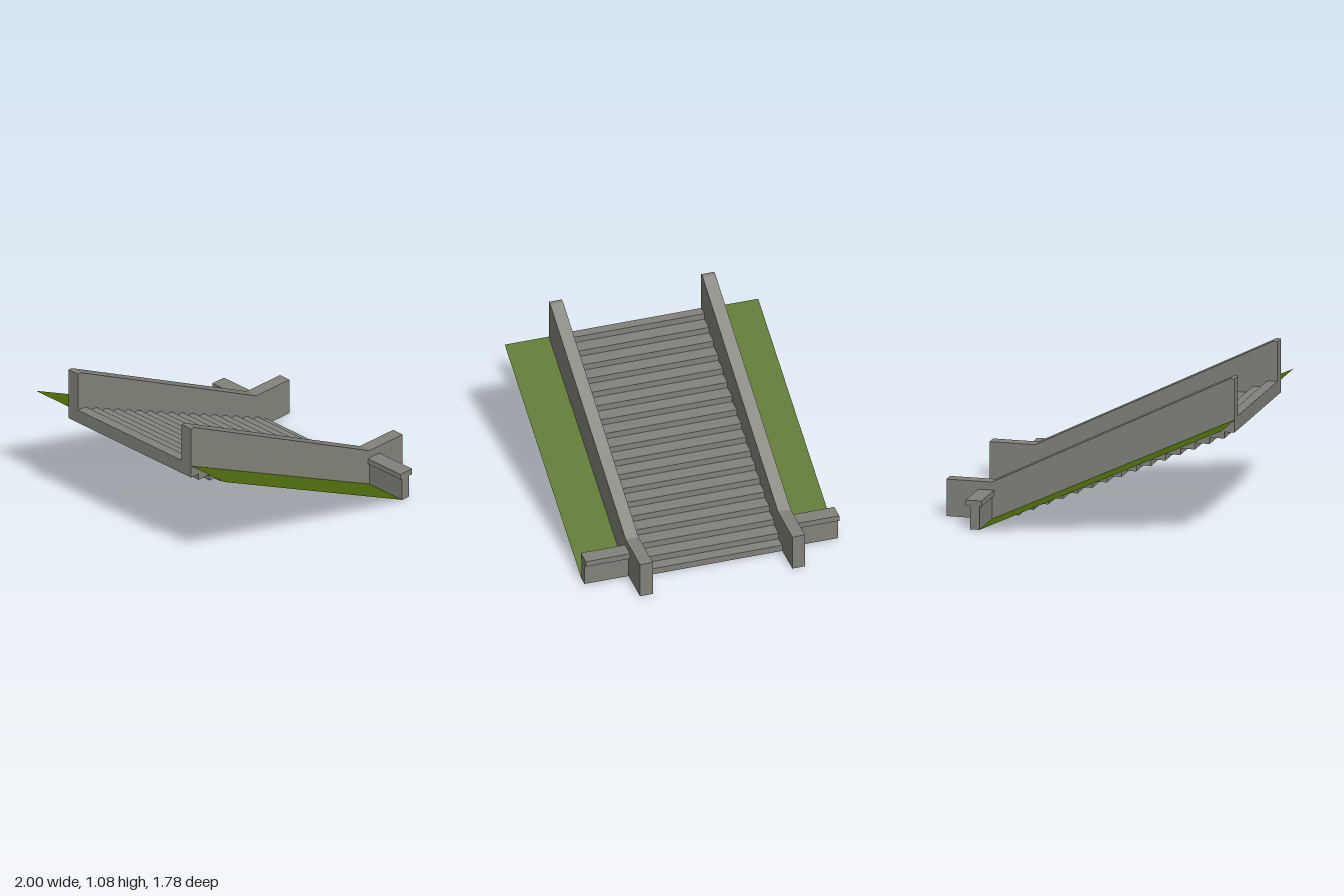
import * as THREE from 'three';

const STEPS = 18, RUN = 0.1018, RISE = 0.0447;
const TOP = 0.805, SLAB = 0.096, BACK = -1, FIRST = -0.93, END = 0.78;

// Front edge, top and underside height of step k
const edge = k => Math.min(FIRST + k * RUN, END);
const top = k => TOP - k * RISE;
const under = k => Math.max(0, top(k) - SLAB);

// Stepped underside, listed from the upper end to the lower end
function undersidePoints(endX) {
  const pts = [[BACK, under(0)]];
  for (let k = 0; k < 16; k++) pts.push([edge(k), under(k)], [edge(k), under(k + 1)]);
  pts.push([endX, 0]);
  return pts;
}

function extrude(points, z0, z1, material, name) {
  const shape = new THREE.Shape(points.map(([x, y]) => new THREE.Vector2(x, y)));
  const geo = new THREE.ExtrudeGeometry(shape, { depth: z1 - z0, bevelEnabled: false });
  geo.translate(0, 0, z0);
  const mesh = new THREE.Mesh(geo, material);
  mesh.name = name;
  return mesh;
}

function box(x0, x1, y0, y1, z0, z1, material, name) {
  const mesh = new THREE.Mesh(new THREE.BoxGeometry(x1 - x0, y1 - y0, z1 - z0), material);
  mesh.position.set((x0 + x1) / 2, (y0 + y1) / 2, (z0 + z1) / 2);
  mesh.name = name;
  return mesh;
}

export function createModel() {
  const group = new THREE.Group();
  group.name = 'stairway';
  const stone = new THREE.MeshStandardMaterial({ color: 0x82827a });
  stone.name = 'stone';
  const grass = new THREE.MeshStandardMaterial({ color: 0x4f6d0d, side: THREE.DoubleSide });
  grass.name = 'grass';

  // Flight of steps with a stepped underside
  const flight = undersidePoints(END);
  for (let k = STEPS - 1; k >= 0; k--) {
    flight.push([edge(k), top(k)], [k ? edge(k - 1) : BACK, top(k)]);
  }
  group.add(extrude(flight, -0.49, 0.49, stone, 'steps'));

  // Side walls with a sloping top and a level lower end
  const wall = [...undersidePoints(1), [1, 0.255], [0.685, 0.255], [-0.97, 1.08], [BACK, 1.08]];

  for (const [side, s] of [['left', -1], ['right', 1]]) {
    const span = (a, b) => (s > 0 ? [a, b] : [-b, -a]);
    group.add(extrude(wall, ...span(0.49, 0.58), stone, side + 'SideWall'));

    // Low retaining wall with its overhanging cap
    const [z0, z1] = span(0.58, 0.89);
    group.add(box(0.685, 0.75, 0, 0.16, z0, z1, stone, side + 'RetainingWall'));
    group.add(box(0.67, END, 0.16, 0.2, z0, z1, stone, side + 'RetainingCap'));

    // Sloping grass bank
    const dx = 0.685 - BACK, h = 0.797;
    const bank = new THREE.Mesh(new THREE.PlaneGeometry(Math.hypot(dx, h), z1 - z0).rotateX(-Math.PI / 2), grass);
    bank.rotation.z = -Math.atan2(h, dx);
    bank.position.set(BACK + dx / 2, h / 2, (z0 + z1) / 2);
    bank.name = side + 'GrassBank';
    group.add(bank);
  }
  return group;
}
